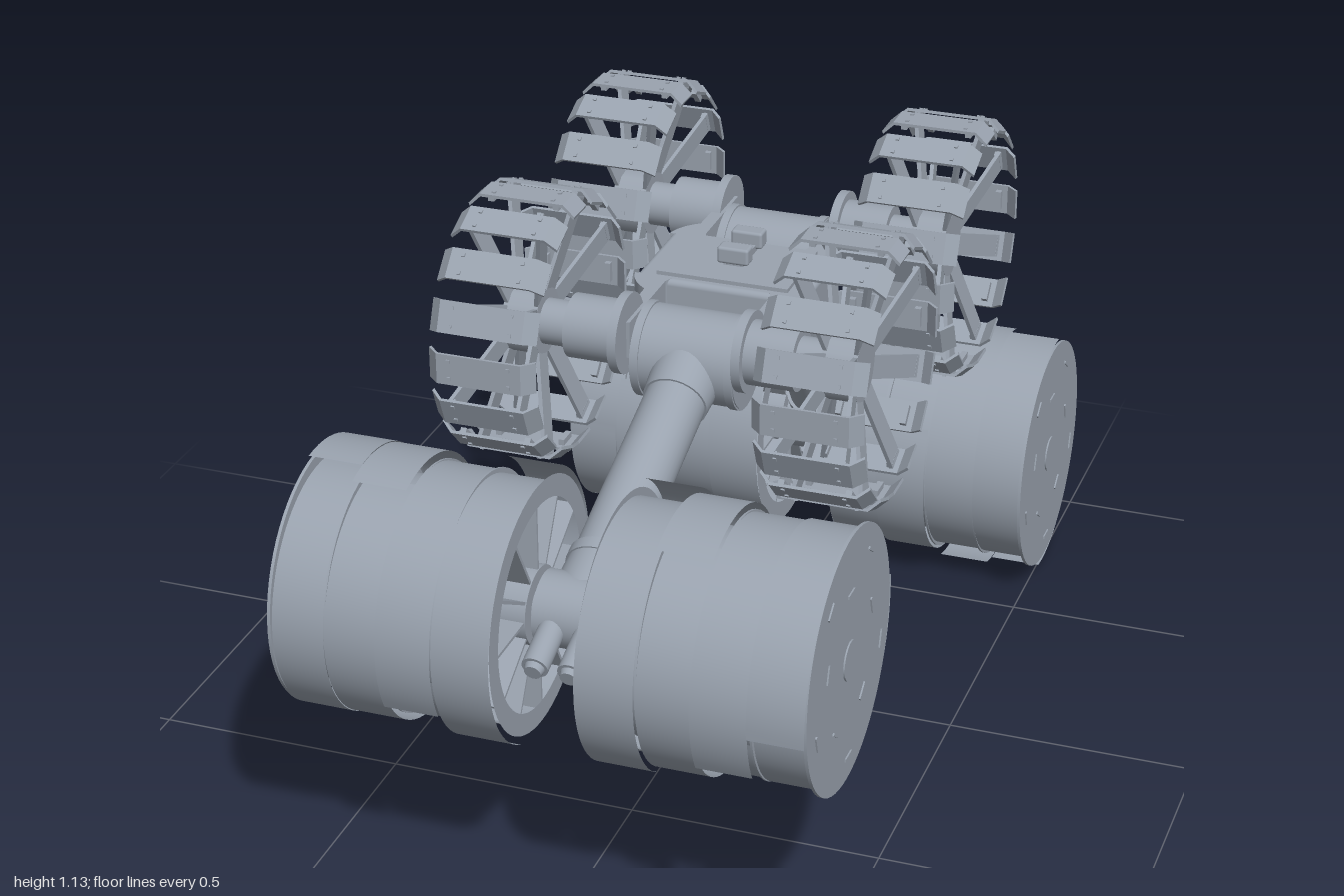
import * as THREE from 'three';
import { RoundedBoxGeometry } from 'three/addons/geometries/RoundedBoxGeometry.js';

const grey = new THREE.MeshStandardMaterial({ color: 0x9aa3af, side: THREE.DoubleSide });
grey.name = 'steel grey';

function add(parent, name, geometry, x = 0, y = 0, z = 0) {
  const mesh = new THREE.Mesh(geometry, grey);
  mesh.name = name;
  mesh.position.set(x, y, z);
  parent.add(mesh);
  return mesh;
}

function group(parent, name, x = 0, y = 0, z = 0) {
  const g = new THREE.Group();
  g.name = name;
  g.position.set(x, y, z);
  parent.add(g);
  return g;
}

const box = (w, h, d) => new THREE.BoxGeometry(w, h, d);
// Cylinder along x between two x values
const cylX = (r, x0, x1, sides = 40) =>
  new THREE.CylinderGeometry(r, r, x1 - x0, sides).rotateZ(-Math.PI / 2).translate((x0 + x1) / 2, 0, 0);
// Cylinder along z between two z values
const cylZ = (r0, r1, z0, z1) =>
  new THREE.CylinderGeometry(r1, r0, z1 - z0, 32).rotateX(Math.PI / 2).translate(0, 0, (z0 + z1) / 2);

// Curved scoop plate whose radius grows towards its lip
function scoopPlate(x0, x1, lipAngle) {
  const span = Math.PI + 0.22;
  const geo = new THREE.CylinderGeometry(1, 1, x1 - x0, 40, 1, true, -lipAngle - span, span);
  const p = geo.attributes.position, uv = geo.attributes.uv;
  for (let i = 0; i < p.count; i++) {
    const r = 0.224 + 0.034 * uv.getX(i);
    p.setX(i, p.getX(i) * r);
    p.setZ(i, p.getZ(i) * r);
  }
  geo.rotateZ(-Math.PI / 2).translate((x0 + x1) / 2, 0, 0);
  geo.computeVertexNormals();
  return geo;
}

// One digging drum; side is +1 (left) or -1 (right)
function drum(parent, side) {
  const g = group(parent, side > 0 ? 'leftDrum' : 'rightDrum');
  const edges = [0.08, 0.19, 0.295, 0.4, 0.505];
  const lips = side > 0 ? [118, 62, 148, 172] : [115, 150, 70, 80];
  const slab = (r, x0, x1, sides) => side > 0 ? cylX(r, x0, x1, sides) : cylX(r, -x1, -x0, sides);

  for (let i = 0; i < 4; i++) {
    const [x0, x1] = side > 0 ? [edges[i], edges[i + 1]] : [-edges[i + 1], -edges[i]];
    for (let k = 0; k < 2; k++) {
      add(g, 'scoopPlate', scoopPlate(x0, x1, THREE.MathUtils.degToRad(lips[i]) + k * Math.PI));
    }
    if (i > 0) add(g, 'partition', slab(0.236, edges[i] - 0.002, edges[i] + 0.002, 64));
  }
  add(g, 'drumCore', slab(0.2, 0.15, 0.5, 48));
  add(g, 'endPlate', slab(0.247, 0.5, 0.506, 64));
  add(g, 'endCap', slab(0.038, 0.5, 0.509, 32));
  add(g, 'innerHub', slab(0.075, 0.08, 0.16));

  // Open inner end: rim and radial baffles
  add(g, 'innerRim', new THREE.RingGeometry(0.2, 0.242, 64).rotateY(Math.PI / 2), side * 0.08);
  for (let i = 0; i < 12; i++) {
    const spoke = add(g, 'baffle', box(0.07, 0.16, 0.006).translate(side * 0.117, 0.14, 0));
    spoke.rotation.x = i * Math.PI / 6;
  }
  // Short marks on the end plate
  for (let i = 0; i < 10; i++) {
    const r = i % 2 ? 0.2 : 0.135;
    const mark = add(g, 'endSlot', box(0.004, 0.006, 0.035).translate(side * 0.507, r, 0));
    mark.rotation.x = i * Math.PI / 5;
  }
}

// Arm with its shoulder at the origin, reaching along local +z to the drums
function arm(parent, name, y, z, drumY, drumZ) {
  const g = group(parent, name, 0, y, z);
  const dz = Math.abs(drumZ - z), dy = y - drumY;
  const reach = Math.hypot(dz, dy), tilt = Math.atan2(dy, dz);
  g.rotation.order = 'YXZ';
  g.rotation.set(tilt, drumZ > z ? 0 : Math.PI, 0);

  add(g, 'shoulderHousing', cylX(0.09, -0.105, 0.105));
  for (const s of [-1, 1]) add(g, 'shoulderRing', cylX(0.094, s * 0.095 - 0.008, s * 0.095 + 0.008));
  add(g, 'shoulderCollar', cylZ(0.07, 0.064, 0.05, 0.13));
  add(g, 'armTube', cylZ(0.06, 0.06, 0.1, reach - 0.05));
  add(g, 'wristCollar', cylZ(0.067, 0.067, reach - 0.125, reach - 0.1));
  add(g, 'wristSleeve', cylZ(0.064, 0.068, reach - 0.1, reach));
  add(g, 'gearbox', cylX(0.07, -0.07, 0.07), 0, 0, reach);
  add(g, 'drumAxle', cylX(0.045, -0.12, 0.12), 0, 0, reach);
  for (const s of [-1, 1]) {
    add(g, 'drumMotor', cylZ(0.025, 0.025, 0.04, 0.15), s * 0.034, 0.012, reach);
    add(g, 'motorCap', cylZ(0.019, 0.016, 0.15, 0.162), s * 0.034, 0.012, reach);
  }
  const drums = group(g, 'drumPair', 0, 0, reach);
  drums.rotation.x = -tilt;
  drum(drums, 1);
  drum(drums, -1);
}

// Tread slat: flat middle with ends bent towards the axle
function slatGeometry() {
  const s = new THREE.Shape();
  const top = [[-0.108, -0.022], [-0.085, 0], [0.085, 0], [0.108, -0.022]];
  top.forEach(([x, y], i) => (i ? s.lineTo(x, y) : s.moveTo(x, y)));
  [...top].reverse().forEach(([x, y]) => s.lineTo(x * 0.98, y - 0.006));
  return new THREE.ExtrudeGeometry(s, { depth: 0.062, bevelEnabled: false }).translate(0, 0, -0.031);
}

// Open wheel with slats on paired, splayed spokes
function wheel(parent, name, side, y, z) {
  const g = group(parent, name, side * 0.32, y, z);
  const slat = slatGeometry();
  add(g, 'hub', cylX(0.066, -0.035, 0.035, 16));
  for (let i = 0; i < 16; i++) {
    const unit = group(g, 'treadUnit');
    unit.rotation.x = i * Math.PI / 8;
    add(unit, 'slat', slat, 0, 0.262, 0);
    for (const sx of [-1, 1]) {
      add(unit, 'slatClip', box(0.012, 0.012, 0.04), sx * 0.066, 0.25, 0);
      for (const sz of [-1, 1]) add(unit, 'bolt', box(0.007, 0.004, 0.007), sx * 0.06, 0.263, sz * 0.018);
    }
    if (i % 2) {
      for (const sx of [-1, 1]) {
        const strip = add(unit, 'spoke', box(0.008, 0.208, 0.045), sx * 0.049, 0.153, 0);
        strip.rotation.z = -sx * 0.2;
      }
    }
  }
  // Axle drive running inward to the chassis
  const tube = (r, a, b) => side > 0 ? cylX(r, a, b) : cylX(r, -b, -a);
  add(g, 'driveMotor', tube(0.063, -0.2, -0.09));
  add(g, 'axle', tube(0.045, -0.1, 0));
  add(g, 'driveFlange', tube(0.08, -0.205, -0.187));
}

// Chassis body between the two axles
function chassis(parent) {
  const g = group(parent, 'chassis', 0, 0, -0.125);
  add(g, 'bodyBox', new RoundedBoxGeometry(0.35, 0.1, 0.23, 3, 0.012), 0, 0.85, 0);
  add(g, 'topCover', box(0.27, 0.012, 0.19), 0, 0.902, 0);

  // Tapered belly
  const belly = new THREE.Shape();
  [[-0.09, 0.81], [-0.05, 0.71], [0.05, 0.71], [0.09, 0.81]].forEach(([z, y], i) =>
    i ? belly.lineTo(z, y) : belly.moveTo(z, y));
  add(g, 'belly', new THREE.ExtrudeGeometry(belly, { depth: 0.26, bevelEnabled: false })
    .rotateY(-Math.PI / 2).translate(0.13, 0, 0));

  // Curved fork rails holding the axles
  const rail = new THREE.Shape();
  rail.moveTo(0.178, 0.1);
  rail.quadraticCurveTo(0.17, 0.14, 0.135, 0.165);
  rail.lineTo(0.132, 0.32);
  rail.lineTo(0.108, 0.32);
  rail.lineTo(0.108, 0.12);
  rail.lineTo(0.1, 0.1);
  const railGeo = new THREE.ExtrudeGeometry(rail, { depth: 0.075, bevelEnabled: false })
    .rotateX(Math.PI / 2).translate(0, 0.9, 0);
  for (const end of [0, 1]) {
    const fork = group(g, end ? 'rearFork' : 'frontFork');
    fork.rotation.y = end * Math.PI;
    add(fork, 'forkRail', railGeo);
    const mirrored = add(fork, 'forkRail', railGeo);
    mirrored.scale.x = -1;
  }

  // Sensor on the roof
  add(g, 'sensorBase', box(0.04, 0.02, 0.11), 0, 0.912, -0.03);
  for (const z of [-0.07, 0.015]) add(g, 'sensorHead', new RoundedBoxGeometry(0.065, 0.035, 0.035, 2, 0.006), 0, 0.93, z);
}

export function createModel() {
  const model = new THREE.Group();
  model.name = 'drumExcavator';
  chassis(model);
  for (const side of [1, -1]) {
    const label = side > 0 ? 'Left' : 'Right';
    wheel(model, 'front' + label + 'Wheel', side, 0.868, 0.175);
    wheel(model, 'rear' + label + 'Wheel', side, 0.868, -0.425);
  }
  arm(model, 'frontArm', 0.815, 0.12, 0.585, 0.742);
  arm(model, 'rearArm', 0.815, -0.37, 0.263, -0.737);
  return model;
}
